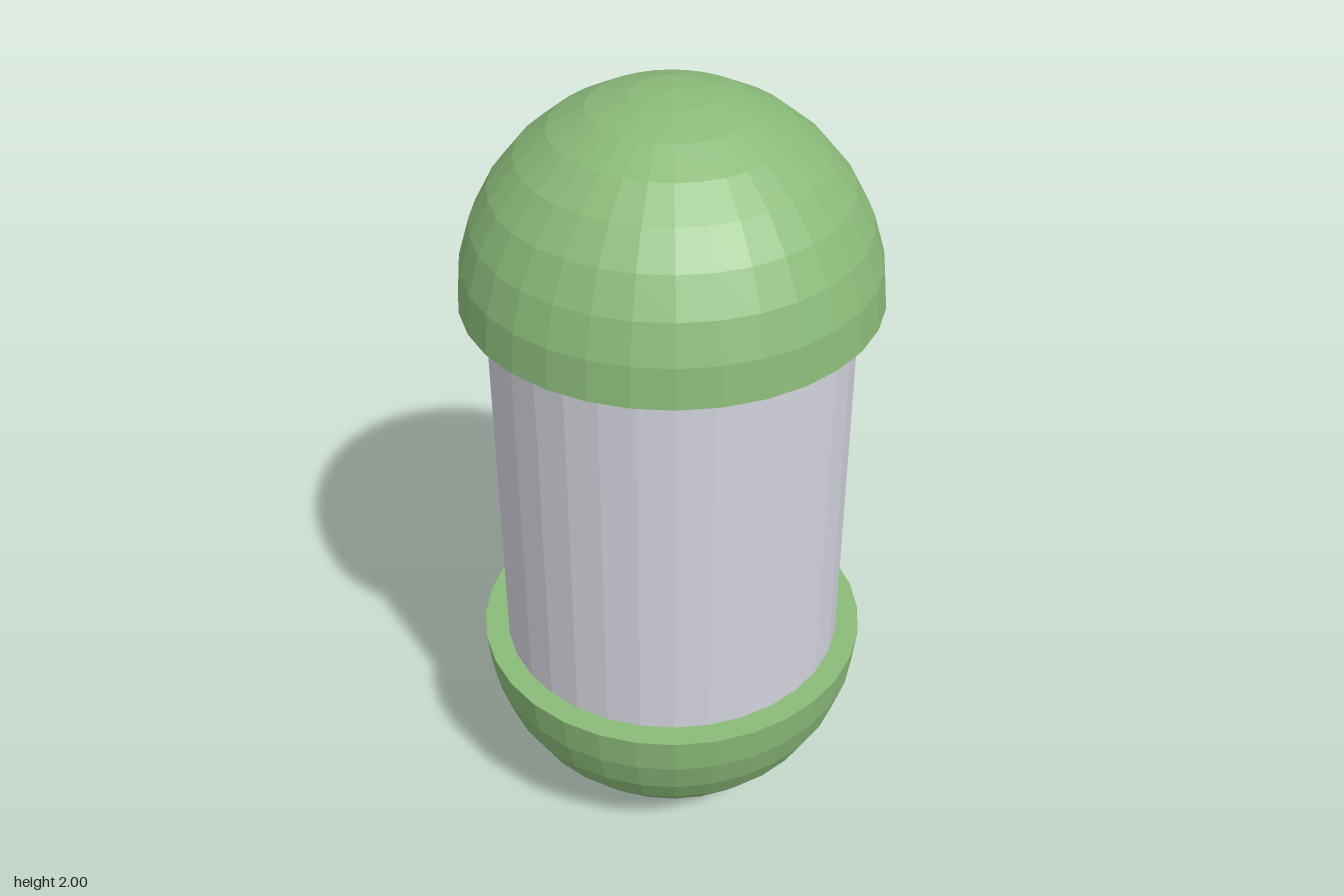
import * as THREE from 'three';

const SIDES = 32;
const STEP = (Math.PI * 2) / SIDES;
const BODY_RADIUS = 0.44;
const CAP_RADIUS = 0.5;

const green = new THREE.MeshStandardMaterial({ color: 0x8aba79 });
green.name = 'leaf green';
const grey = new THREE.MeshStandardMaterial({ color: 0xd2d2dc });
grey.name = 'pale grey';

// Gives every face its own flat normal
function faceted(geometry) {
  const flat = geometry.index ? geometry.toNonIndexed() : geometry;
  flat.computeVertexNormals();
  return flat;
}

function addPart(group, name, geometry, material) {
  const mesh = new THREE.Mesh(faceted(geometry), material);
  mesh.name = name;
  group.add(mesh);
  return mesh;
}

// Solid half sphere: flat disc below, eight rings of facets above
function capGeometry() {
  const profile = [new THREE.Vector2(0, 0)];
  for (let i = 0; i <= 8; i++) {
    const t = (i / 8) * Math.PI / 2;
    profile.push(new THREE.Vector2(i === 8 ? 0 : CAP_RADIUS * Math.cos(t), CAP_RADIUS * Math.sin(t)));
  }
  return new THREE.LatheGeometry(profile, SIDES);
}

// Tree outline: degrees round from the back towards +x, and height
const TREE = [
  [41, 1.25], [34.5, 1.30], [27, 1.298], [22.6, 1.332], [13.7, 1.346], [6.7, 1.33],
  [3.4, 1.282], [-6.5, 1.28], [-13.8, 1.242], [-13.8, 1.18], [-7.5, 1.11],
  [-12.7, 1.079], [-10.6, 1.022], [-1.8, 0.995], [4.2, 1.016], [13.7, 1.027],
  [14.4, 0.902], [11.8, 0.775], [12, 0.761], [21, 0.782], [31, 0.777], [31.6, 0.787],
  [28.3, 0.885], [26.9, 1.03], [32.4, 1.036], [40.8, 1.029], [46.3, 1.105],
  [43.6, 1.165], [39.8, 1.19],
];

// Keeps the part of a convex polygon where side * (x - limit) >= 0
function clip(polygon, limit, side) {
  const kept = [];
  polygon.forEach((p, i) => {
    const q = polygon[(i + 1) % polygon.length];
    const dp = side * (p.x - limit);
    const dq = side * (q.x - limit);
    if (dp >= 0) kept.push(p);
    if (dp * dq < 0) kept.push(p.clone().lerp(q, dp / (dp - dq)));
  });
  return kept;
}

// Wraps the outline on the body, cut along the body's facet edges
function treeGeometry() {
  const knots = TREE.map(([deg, y]) => new THREE.Vector3(THREE.MathUtils.degToRad(deg), y, 0));
  const curve = new THREE.CatmullRomCurve3(knots, true, 'centripetal');
  const outline = curve.getPoints(TREE.length * 4).slice(0, -1).map((p) => new THREE.Vector2(p.x, p.y));
  if (THREE.ShapeUtils.isClockWise(outline)) outline.reverse();

  const apothem = BODY_RADIUS * Math.cos(STEP / 2) + 0.004;
  const positions = [];
  for (const face of THREE.ShapeUtils.triangulateShape(outline, [])) {
    const triangle = face.map((i) => outline[i]);
    for (let k = -3; k < 6; k++) {
      const piece = clip(clip(triangle, k * STEP, 1), (k + 1) * STEP, -1);
      const wrapped = piece.map((p) => {
        const r = apothem / Math.cos(p.x - (k + 0.5) * STEP);
        return [r * Math.sin(p.x), p.y, -r * Math.cos(p.x)];
      });
      for (let i = 1; i + 1 < wrapped.length; i++) {
        positions.push(...wrapped[0], ...wrapped[i + 1], ...wrapped[i]);
      }
    }
  }
  const geometry = new THREE.BufferGeometry();
  geometry.setAttribute('position', new THREE.Float32BufferAttribute(positions, 3));
  return geometry;
}

export function createModel() {
  const model = new THREE.Group();
  model.name = 'capsule';

  // Cylindrical middle
  const body = addPart(model, 'body',
    new THREE.CylinderGeometry(BODY_RADIUS, BODY_RADIUS, 1, SIDES, 1, true), grey);
  body.position.y = 1;

  // Domed ends
  addPart(model, 'topCap', capGeometry(), green).position.y = 1.5;
  const bottom = addPart(model, 'bottomCap', capGeometry(), green);
  bottom.rotation.x = Math.PI;
  bottom.position.y = 0.5;

  // Painted tree on the back
  addPart(model, 'treeEmblem', treeGeometry(), green);

  return model;
}
